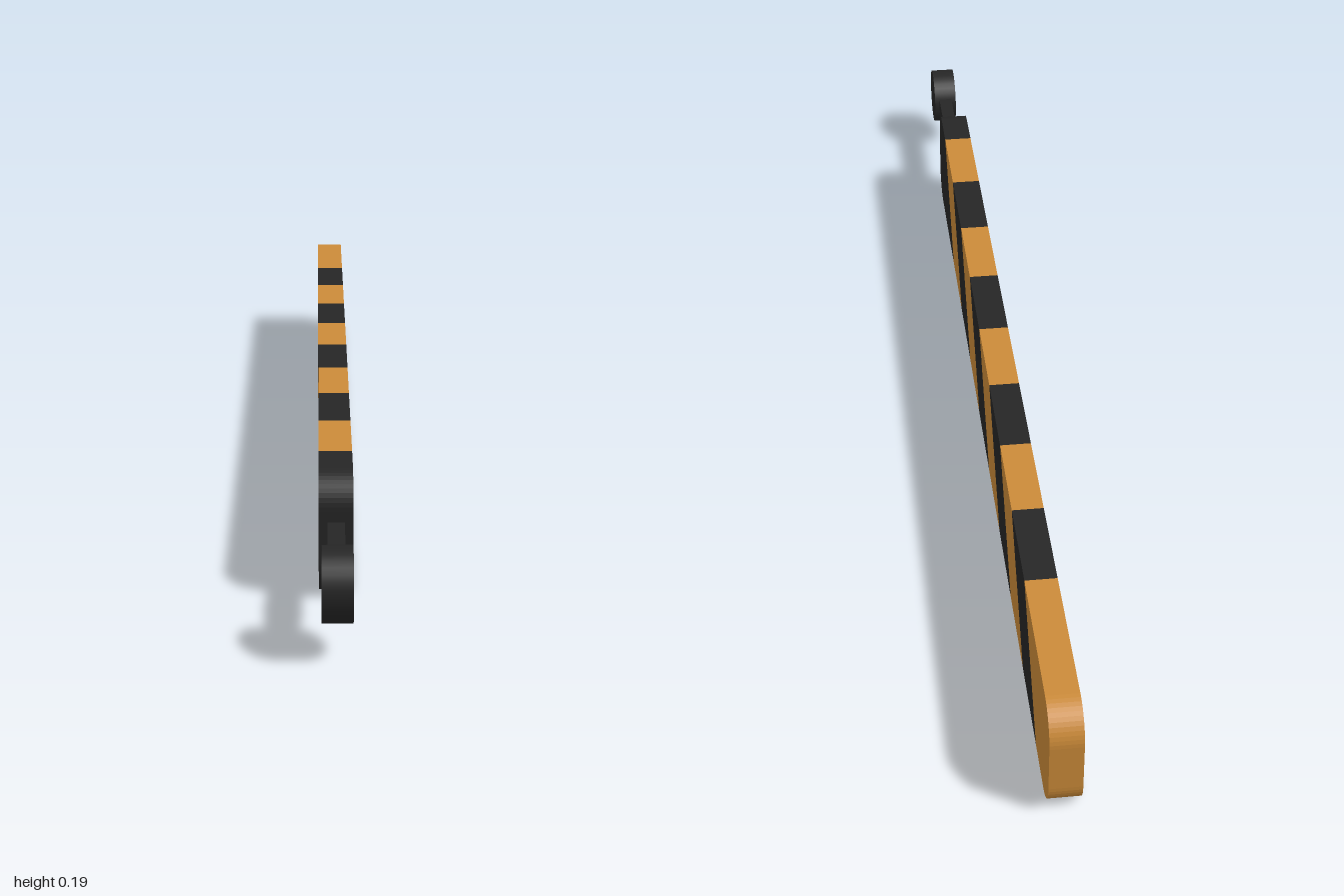
import * as THREE from 'three';

const H = 0.195, T = 0.052, R = 0.055;   // board height, thickness, corner radius
const FRONT = 0.74, BACK = -1;           // board ends along z
const STEP = 0.164, SLANT = 0.16, FIRST = 0.61;

export function createModel() {
  const group = new THREE.Group();
  const dark = new THREE.MeshStandardMaterial({ color: 0x262626 });
  const amber = new THREE.MeshStandardMaterial({ color: 0xcc8b39 });

  const add = (name, geometry, material) => {
    const mesh = new THREE.Mesh(geometry, material);
    mesh.name = name;
    group.add(mesh);
    return mesh;
  };

  // Slab drawn in the (z, y) plane and extruded across x
  const slab = (shape) => new THREE.ExtrudeGeometry(shape, { depth: T, bevelEnabled: false, curveSegments: 6 })
    .translate(0, 0, -T / 2).rotateY(-Math.PI / 2);

  // Slanted stripes; the first and last have rounded outer corners
  const count = 10;
  for (let i = 0; i < count; i++) {
    const front = FIRST - (i - 1) * STEP, back = FIRST - i * STEP;
    const s = new THREE.Shape();
    if (i === count - 1) {
      s.moveTo(front, H);
      s.lineTo(BACK + R, H);
      s.absarc(BACK + R, H - R, R, Math.PI / 2, Math.PI, false);
      s.absarc(BACK + R, R, R, Math.PI, Math.PI * 1.5, false);
      s.lineTo(front - SLANT, 0);
    } else {
      s.moveTo(back, H);
      s.lineTo(back - SLANT, 0);
      if (i === 0) {
        s.absarc(FRONT - R, R, R, -Math.PI / 2, 0, false);
        s.absarc(FRONT - R, H - R, R, 0, Math.PI / 2, false);
      } else {
        s.lineTo(front - SLANT, 0);
        s.lineTo(front, H);
      }
    }
    s.closePath();
    add(i % 2 ? 'amberStripe' : 'darkStripe', slab(s), i % 2 ? amber : dark);
  }

  // Thin rod joining the board to the end disc
  add('rod', new THREE.BoxGeometry(0.026, 0.038, 0.2), dark).position.set(0, 0.105, 0.82);

  // Round end disc, axis across x
  add('endDisc', new THREE.CylinderGeometry(0.055, 0.055, 0.045, 32).rotateZ(Math.PI / 2), dark)
    .position.set(0, 0.105, 0.945);

  return group;
}
